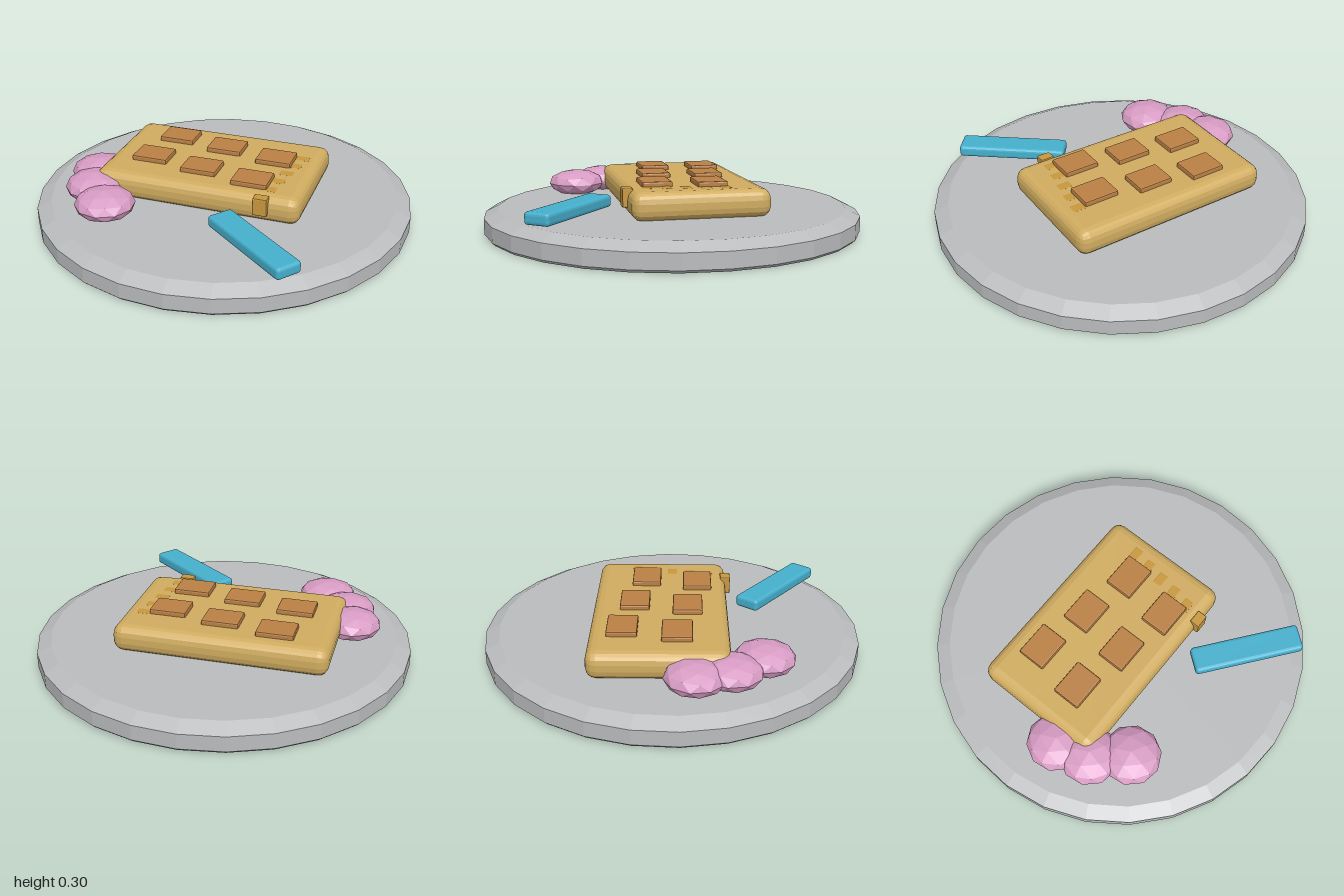
import * as THREE from 'three';
import { RoundedBoxGeometry } from 'three/addons/geometries/RoundedBoxGeometry.js';

const material = (name, color) => {
  const m = new THREE.MeshStandardMaterial({ color, flatShading: true });
  m.name = name;
  return m;
};

export function createModel() {
  const grey = material('plate grey', 0xbabcbe);
  const golden = material('waffle gold', 0xd0ac60);
  const brown = material('syrup brown', 0xba8044);
  const amber = material('strip amber', 0xc8983e);
  const blue = material('handle blue', 0x46b0cd);
  const pink = material('berry pink', 0xd89cc4);

  const model = new THREE.Group();
  model.name = 'wafflePlate';
  const add = (name, geometry, mat, x, y, z, degrees = 0) => {
    const mesh = new THREE.Mesh(geometry, mat);
    mesh.name = name;
    mesh.position.set(x, y, z);
    mesh.rotation.y = THREE.MathUtils.degToRad(degrees);
    model.add(mesh);
    return mesh;
  };

  // Bevelled round plate
  const profile = [[0, 0], [0.985, 0], [1, 0.015], [1, 0.095], [0.925, 0.132], [0, 0.132]]
    .map(([r, y]) => new THREE.Vector2(r, y));
  add('plate', new THREE.LatheGeometry(profile, 28), grey, 0, 0, 0);

  // Waffle slab, turned a little on the plate
  const tilt = 10;
  add('waffle', new RoundedBoxGeometry(1.12, 0.145, 0.71, 2, 0.055), golden, -0.08, 0.2, -0.045, tilt);

  // Two rows of three raised squares
  const square = new RoundedBoxGeometry(0.195, 0.036, 0.155, 1, 0.008);
  for (const x of [-0.38, -0.08, 0.22]) {
    for (const z of [-0.18, 0.1]) add('waffleSquare', square, brown, x, 0.28, z, tilt);
  }

  // Row of small blocks sunk into the waffle, the last one at its front edge
  const block = new RoundedBoxGeometry(0.075, 0.096, 0.055, 1, 0.006);
  for (let i = 0; i < 6; i++) add('edgeBlock', block, amber, 0.34, 0.2265, -0.26 + i * 0.1, tilt);

  // Blue bar resting beside the waffle
  add('blueBar', new RoundedBoxGeometry(0.59, 0.064, 0.14, 2, 0.018), blue, 0.44, 0.186, 0.518, -28);

  // Flattened faceted berries, with a corner turned upward
  const berry = new THREE.IcosahedronGeometry(0.157, 1);
  berry.rotateX(-Math.atan((1 + Math.sqrt(5)) / 2));
  berry.scale(1, 0.47, 1);
  for (const [x, z] of [[-0.64, 0.235], [-0.56, 0.4], [-0.4, 0.54]]) {
    add('berry', berry, pink, x, 0.187, z);
  }

  return model;
}
